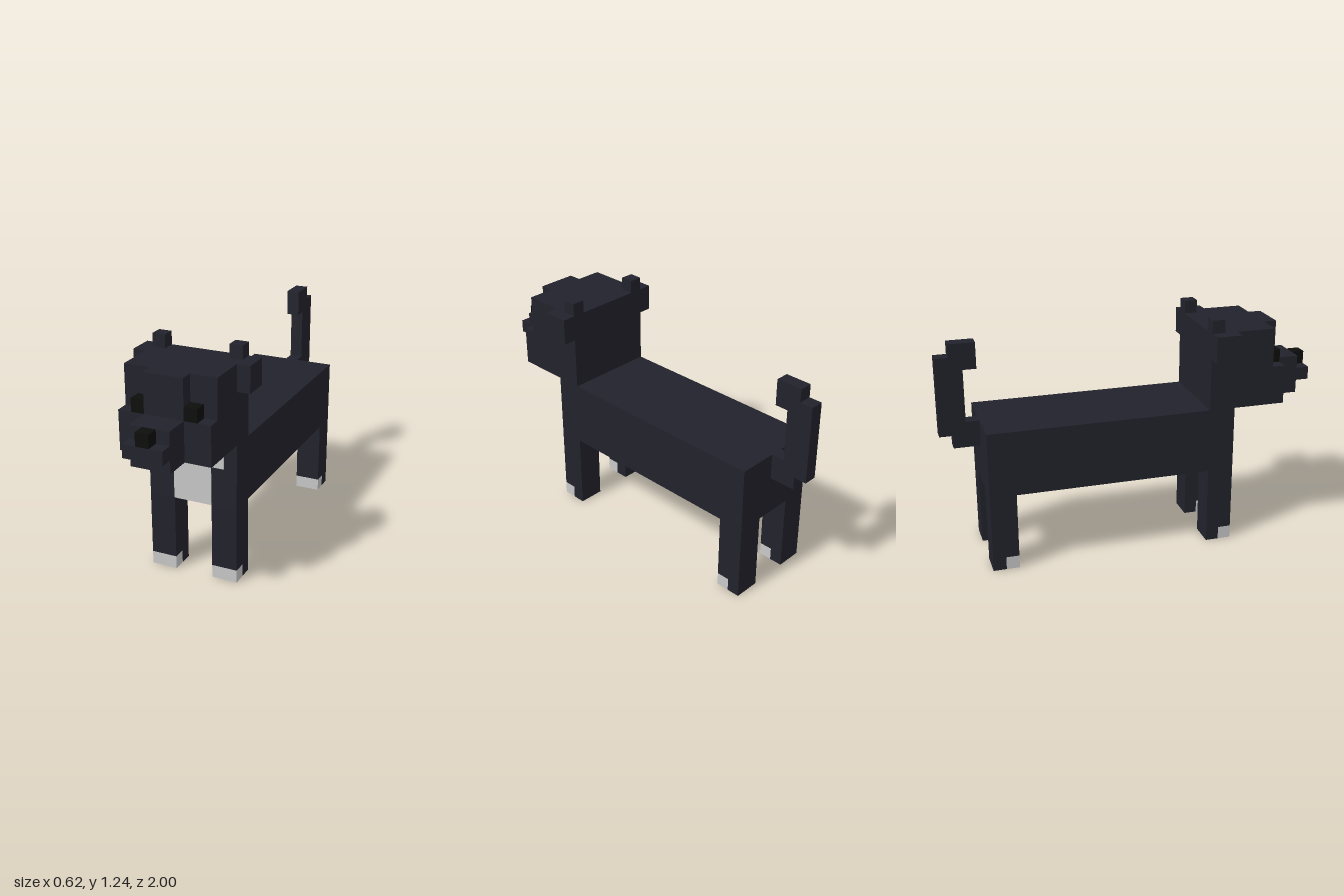
import * as THREE from 'three';

const U = 2 / 29; // one block

export function createModel() {
  const model = new THREE.Group();
  model.name = 'blockDog';

  const coat = new THREE.MeshStandardMaterial({ name: 'dark coat', color: 0x22222c });
  const pale = new THREE.MeshStandardMaterial({ name: 'pale markings', color: 0xc8c8c8 });
  const black = new THREE.MeshStandardMaterial({ name: 'black', color: 0x0d0d0c });

  // Box from block ranges: x from the middle, y from the ground, k from the front backwards
  function block(name, material, x0, x1, y0, y1, k0, k1) {
    const geometry = new THREE.BoxGeometry((x1 - x0) * U, (y1 - y0) * U, (k1 - k0) * U);
    const mesh = new THREE.Mesh(geometry, material);
    mesh.name = name;
    mesh.position.set((x0 + x1) / 2 * U, (y0 + y1) / 2 * U, 1 - (k0 + k1) / 2 * U);
    model.add(mesh);
  }
  function pair(name, material, x0, x1, ...rest) {
    block(name + 'Left', material, x0, x1, ...rest);
    block(name + 'Right', material, -x1, -x0, ...rest);
  }

  // Body
  block('body', coat, -3.5, 3.5, 6, 11, 7, 26);

  // Chest and belly markings as thin plates
  const t = 0.05;
  block('chestBand', pale, -2.5, 2.5, 9, 10, 7 - t, 7);
  block('chestBib', pale, -1.5, 1.5, 6, 9, 7 - t, 7);
  block('bellyFront', pale, -1.5, 1.5, 6 - t, 6, 7, 9);
  block('belly', pale, -2.5, 2.5, 6 - t, 6, 9, 22);

  // Legs with pale toes on the front half of each foot
  for (const [name, k] of [['front', 7], ['back', 24]]) {
    pair(name + 'Leg', coat, 1.5, 3.5, 1, 6, k, k + 2);
    pair(name + 'Heel', coat, 1.5, 3.5, 0, 1, k + 1, k + 2);
    pair(name + 'Toes', pale, 1.5, 3.5, 0, 1, k, k + 1);
  }

  // Head: skull, jaw with cheeks, and a forehead between the eyes
  block('skull', coat, -3.5, 3.5, 14, 17, 4, 9);
  block('jaw', coat, -3.5, 3.5, 11, 14, 3, 9);
  block('forehead', coat, -1.5, 1.5, 14, 17, 3, 4);
  block('muzzle', coat, -1.5, 1.5, 11, 14, 1, 3);
  block('lip', coat, -1.5, 1.5, 12, 13, 0, 1);
  block('nose', black, -0.5, 0.5, 13, 14, 0, 1);
  pair('eye', black, 1.5, 2.5, 14, 15, 3, 4);

  // Ears
  pair('ear', coat, 3.5, 4.5, 15, 17, 7, 9);
  pair('earTip', coat, 2.5, 3.5, 17, 18, 8, 9);

  // Tail, curling up and forward
  block('tailBaseInner', coat, -0.5, 0.5, 9, 11, 26, 27);
  block('tailBaseOuter', coat, -0.5, 0.5, 9, 10, 27, 28);
  block('tailStem', coat, -0.5, 0.5, 10, 16, 27, 29);
  block('tailTipInner', coat, -0.5, 0.5, 15, 17, 26, 27);
  block('tailTipOuter', coat, -0.5, 0.5, 16, 17, 27, 28);

  return model;
}
